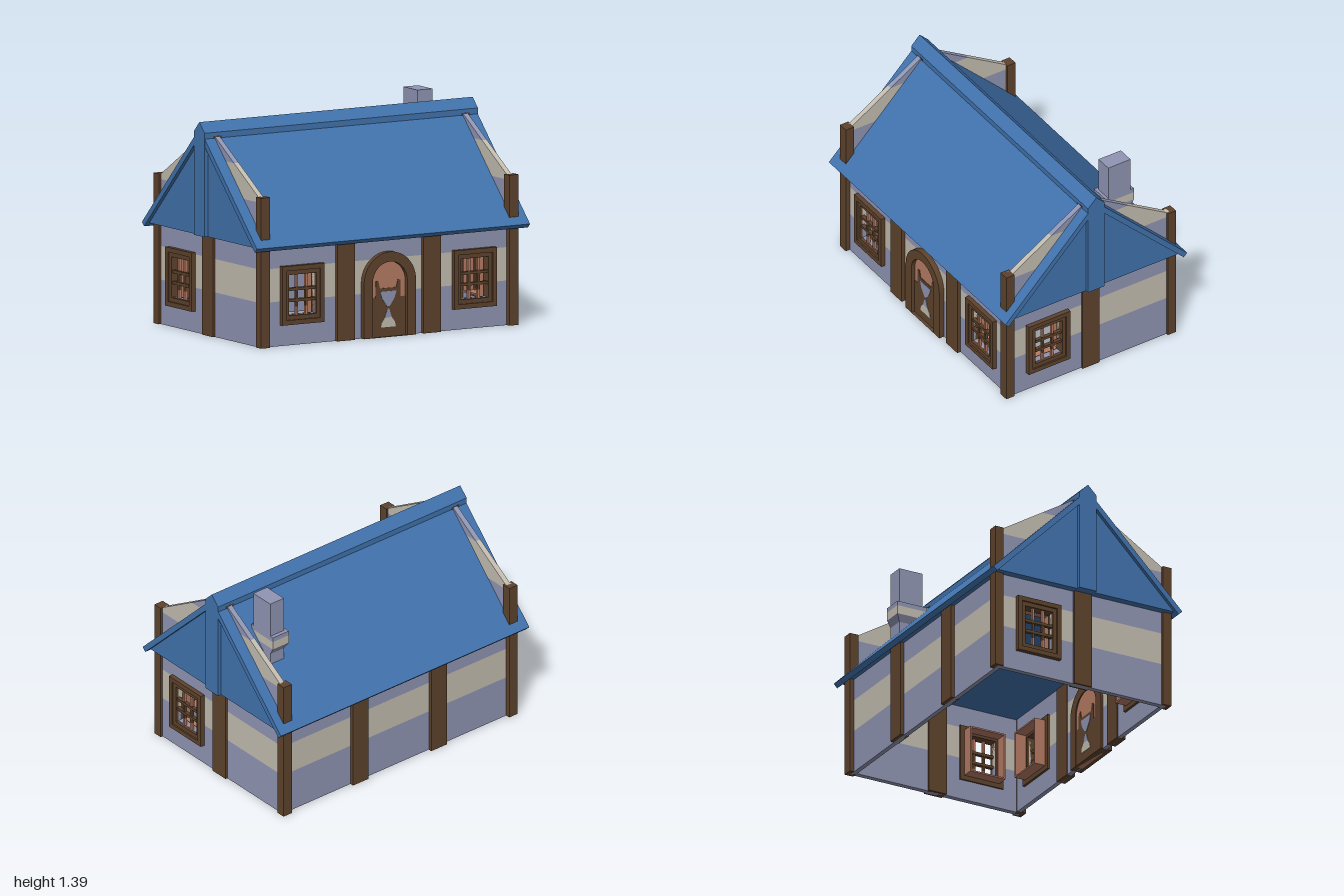
import * as THREE from 'three';

const mat = (name, color, side = THREE.FrontSide) => {
  const m = new THREE.MeshStandardMaterial({ color, side });
  m.name = name;
  return m;
};

export function createModel() {
  const blue = mat('roofBlue', 0x4173ad);
  const stone = mat('lavenderPlaster', 0x9095b3);
  const cream = mat('creamPlaster', 0xc3bdb0);
  const wood = mat('darkWood', 0x5e432d);
  const clay = mat('terracotta', 0xb67b64);

  const house = new THREE.Group();
  house.name = 'house';

  const add = (parent, name, geo, material) => {
    const m = new THREE.Mesh(geo, material);
    m.name = name;
    parent.add(m);
    return m;
  };
  // box given by its limits
  const box = (parent, name, material, x0, x1, y0, y1, z0, z1) => {
    const g = new THREE.BoxGeometry(x1 - x0, y1 - y0, z1 - z0);
    g.translate((x0 + x1) / 2, (y0 + y1) / 2, (z0 + z1) / 2);
    return add(parent, name, g, material);
  };
  const poly = (pts) => new THREE.Shape(pts.map(([x, y]) => new THREE.Vector2(x, y)));
  const extrude = (shape, z0, z1) =>
    new THREE.ExtrudeGeometry(shape, { depth: z1 - z0, bevelEnabled: false, curveSegments: 14 }).translate(0, 0, z0);
  const mirrored = (half) => [...half, ...half.slice().reverse().map(([x, y]) => [-x, y])];
  const rect = (w, h) => [[-w / 2, -h / 2], [w / 2, -h / 2], [w / 2, h / 2], [-w / 2, h / 2]];
  const ring = (w, h, iw, ih, z0, z1) => {
    const s = poly(rect(w, h));
    s.holes.push(poly(rect(iw, ih)));
    return extrude(s, z0, z1);
  };

  // Plaster wall in horizontal colour bands, with window openings
  const bands = [
    [0, 0.19, stone, false], [0.19, 0.28, stone, true], [0.28, 0.447, cream, true],
    [0.447, 0.49, cream, false], [0.49, 0.64, stone, false],
  ];
  const wall = (parent, name, half, z0, z1, windowXs) => {
    for (const [y0, y1, m, open] of bands) {
      let x = -half;
      for (const c of open ? windowXs : []) {
        box(parent, name, m, x, c - 0.1, y0, y1, z0, z1);
        x = c + 0.1;
      }
      box(parent, name, m, x, half, y0, y1, z0, z1);
    }
  };

  // Window: stepped frame, inner lining and glazing bars
  const addWindow = (parent, x, z) => {
    const w = new THREE.Group();
    w.name = 'window';
    w.position.set(x, 0.3165, z);
    add(w, 'outerFrame', ring(0.31, 0.37, 0.25, 0.31, -0.045, 0.03), wood);
    add(w, 'innerFrame', ring(0.25, 0.31, 0.2, 0.256, -0.045, 0.02), wood);
    add(w, 'innerLining', ring(0.25, 0.31, 0.23, 0.29, -0.12, -0.045), clay);
    for (const s of [-1, 1]) {
      const bx = s * 0.035;
      box(w, 'crossBar', wood, -0.1, 0.1, bx - 0.009, bx + 0.009, -0.012, 0.012);
      box(w, 'uprightBarTop', clay, bx - 0.008, bx + 0.008, 0.05, 0.128, -0.009, 0.009);
      box(w, 'uprightBarMiddle', wood, bx - 0.008, bx + 0.008, -0.075, 0.05, -0.009, 0.009);
      box(w, 'uprightBarBottom', clay, bx - 0.008, bx + 0.008, -0.128, -0.075, -0.009, 0.009);
    }
    parent.add(w);
  };

  // Front and back walls with their posts
  wall(house, 'frontWall', 0.9, 0.57, 0.6, [-0.63, 0.63]);
  wall(house, 'backWall', 0.9, -0.6, -0.57, []);
  for (const s of [-1, 1]) {
    addWindow(house, s * 0.63, 0.6);
    for (const f of [-1, 1]) {
      const x = s * 0.315, z = f * 0.595;
      box(house, 'wallPost', wood, x - 0.063, x + 0.063, 0, 0.64, z - 0.03, z + 0.03);
      box(house, 'cornerPost', wood, s * 0.908 - 0.033, s * 0.908 + 0.033, 0, 0.945, f * 0.6 - 0.03, f * 0.6 + 0.03);
    }
  }

  // Door: arched frame with painted panels on both faces
  const arch = (r, spring) => {
    const s = new THREE.Shape();
    s.moveTo(-r, 0);
    s.lineTo(r, 0);
    s.lineTo(r, spring);
    s.absarc(0, spring, r, 0, Math.PI, false);
    s.closePath();
    return s;
  };
  const door = new THREE.Group();
  door.name = 'door';
  const frame = arch(0.19, 0.345);
  frame.holes.push(arch(0.126, 0.347));
  add(door, 'doorFrame', extrude(frame, 0.555, 0.635), wood);
  add(door, 'doorLeaf', extrude(arch(0.128, 0.347), 0.562, 0.608), clay);
  const lower = mirrored([[0.126, 0], [0.126, 0.245], [0.092, 0.245], [0.09, 0.35], [0.072, 0.355], [0.06, 0.305]]);
  const funnel = mirrored([[0.01, 0.19], [0.045, 0.24], [0.06, 0.285]]);
  const coneTop = mirrored([[0.026, 0.12], [0.006, 0.175]]);
  const coneFoot = mirrored([[0.055, 0.06], [0.048, 0.09], [0.026, 0.12]]);
  for (const [z, d] of [[0.608, 1], [0.562, -1]]) {
    const plate = (name, pts, t0, t1, m) =>
      add(door, name, extrude(poly(pts), Math.min(z + d * t0, z + d * t1), Math.max(z + d * t0, z + d * t1)), m);
    plate('doorLowerPanel', lower, 0, 0.004, wood);
    plate('doorFunnel', funnel, 0.004, 0.007, stone);
    plate('doorConeTop', coneTop, 0.004, 0.007, stone);
    plate('doorConeFoot', coneFoot, 0.004, 0.007, cream);
  }
  house.add(door);

  // End walls: banded gable above the roof, post, window and blue gable panel
  for (const s of [-1, 1]) {
    const end = new THREE.Group();
    end.name = s > 0 ? 'leftEnd' : 'rightEnd';
    end.rotation.y = s * Math.PI / 2;
    wall(end, 'endWall', 0.6, 0.89, 0.925, [-0.3175]);
    const edge = (y) => [0.57 - (y - 0.945) * 1.62, y];
    const parts = [
      [stone, [[0.59, 0.64], [0.59, 0.91]]],
      [cream, [[0.59, 0.91], [0.59, 0.945], edge(0.945), edge(1.12)]],
      [stone, [edge(1.12), edge(1.26)]],
    ];
    for (const [m, half] of parts) add(end, 'gableBand', extrude(poly(mirrored(half)), 0.89, 0.925), m);
    box(end, 'endPost', wood, -0.063, 0.063, 0, 1.262, 0.875, 0.94);
    box(end, 'gablePost', blue, -0.061, 0.061, 0.632, 1.25, 0.93, 1.0);
    addWindow(end, -0.3175, 0.925);
    house.add(end);
  }

  // Roof: slab over both slopes, solid gable core and ridge cap, all along x
  const alongX = (name, pts, half) =>
    add(house, name, extrude(poly(pts), -half, half).rotateY(Math.PI / 2), blue);
  alongX('roofSlab', [[0.65, 0.61], [0.675, 0.635], [0, 1.31], [-0.675, 0.635], [-0.65, 0.61], [0, 1.26]], 0.999);
  alongX('roofCore', [[0.63, 0.632], [0, 1.262], [-0.63, 0.632]], 0.975);
  alongX('ridgeCap', [[-0.062, 1.2], [0.062, 1.2], [0.062, 1.285], [0, 1.347], [-0.062, 1.285]], 1);

  // Chimney: narrow foot, flared collar and tall stack
  const chimney = new THREE.Group();
  chimney.name = 'chimney';
  box(chimney, 'chimneyFoot', stone, 0.72, 0.83, 0.88, 1.04, -0.365, -0.2);
  const flare = box(chimney, 'chimneyFlare', stone, 0.7, 0.83, 1.02, 1.065, -0.39, -0.18);
  const p = flare.geometry.attributes.position;
  for (let i = 0; i < p.count; i++) {
    if (p.getY(i) < 1.04) {
      p.setX(i, Math.max(p.getX(i), 0.72));
      p.setZ(i, THREE.MathUtils.clamp(p.getZ(i), -0.365, -0.2));
    }
  }
  flare.geometry.computeVertexNormals();
  box(chimney, 'chimneyCollar', cream, 0.7, 0.83, 1.065, 1.12, -0.39, -0.18);
  box(chimney, 'chimneyCollarTop', stone, 0.7, 0.83, 1.12, 1.15, -0.39, -0.18);
  box(chimney, 'chimneyStack', stone, 0.72, 0.83, 1.15, 1.386, -0.365, -0.2);
  house.add(chimney);

  return house;
}
